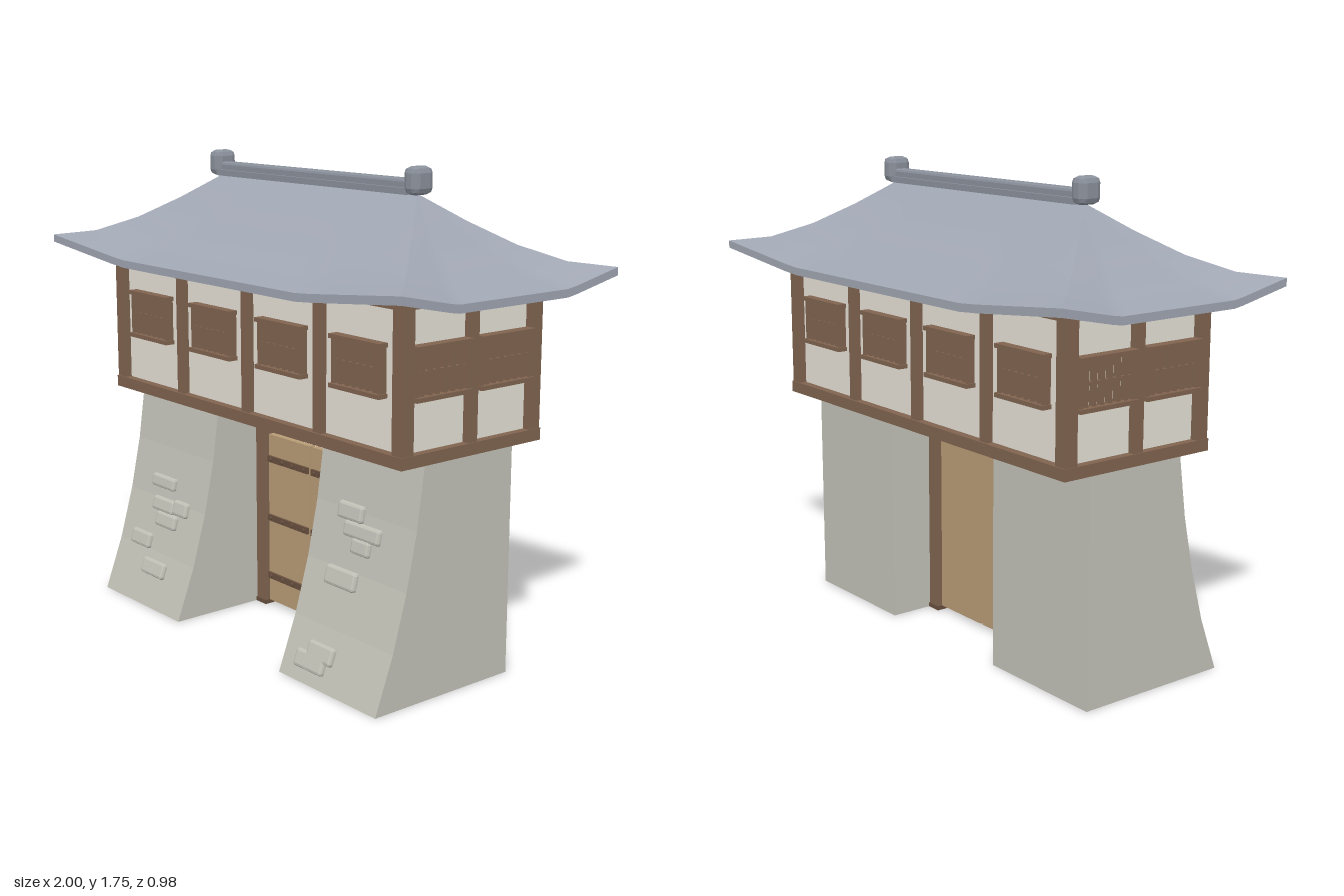
import * as THREE from 'three';
import { RoundedBoxGeometry } from 'three/addons/geometries/RoundedBoxGeometry.js';

const paint = (color, extra = {}) => new THREE.MeshStandardMaterial({ color, ...extra });
const MAT = {
  stone: paint(0xc2c2b8, { flatShading: true }),
  plaster: paint(0xe6e2d8),
  wood: paint(0x80644f),
  darkWood: paint(0x68503f),
  door: paint(0xb99c76),
  tile: paint(0xa0a6b2, { side: THREE.DoubleSide }),
  underside: paint(0x665040, { side: THREE.DoubleSide }),
  ridge: paint(0x8b919c, { flatShading: true }),
};

function add(parent, name, geometry, material, x = 0, y = 0, z = 0) {
  const mesh = new THREE.Mesh(geometry, material);
  mesh.name = name;
  mesh.position.set(x, y, z);
  parent.add(mesh);
  return mesh;
}
const box = (parent, name, mat, w, h, d, x, y, z) =>
  add(parent, name, new THREE.BoxGeometry(w, h, d), mat, x, y, z);

function group(parent, name) {
  const g = new THREE.Group();
  g.name = name;
  parent.add(g);
  return g;
}

// Linear lookup in a list of [key, value] pairs
function lookup(table, k) {
  let i = 1;
  while (i < table.length - 1 && k > table[i][0]) i++;
  const [a, b] = [table[i - 1], table[i]];
  return a[1] + (b[1] - a[1]) * (k - a[0]) / (b[0] - a[0]);
}

// Battered front face of the stone bases: [y, z]
const BATTER = [[0, 0.41], [0.2, 0.335], [0.4, 0.278], [0.6, 0.236], [0.82, 0.205]];

function buildBases(root) {
  const shape = new THREE.Shape();
  shape.moveTo(0.2, 0);
  BATTER.forEach(([y, z]) => shape.lineTo(-z, y));
  shape.lineTo(0.2, 0.82);
  const geo = new THREE.ExtrudeGeometry(shape, { depth: 0.505, bevelEnabled: false });
  geo.rotateY(Math.PI / 2);
  add(root, 'leftStoneBase', geo, MAT.stone, 0.31);
  add(root, 'rightStoneBase', geo, MAT.stone, -0.815);

  // Raised stones: x, y, width, height
  const stones = [
    [-0.59, 0.465, 0.15, 0.05], [-0.565, 0.38, 0.14, 0.055], [-0.455, 0.387, 0.09, 0.06],
    [-0.53, 0.327, 0.13, 0.058], [-0.665, 0.23, 0.125, 0.06], [-0.54, 0.142, 0.145, 0.063],
    [0.5, 0.595, 0.125, 0.06], [0.57, 0.54, 0.18, 0.055], [0.575, 0.49, 0.09, 0.055],
    [0.505, 0.37, 0.155, 0.068], [0.495, 0.115, 0.13, 0.065], [0.455, 0.075, 0.15, 0.064],
  ];
  const g = group(root, 'raisedStones');
  for (const [x, y, w, h] of stones) {
    const slope = (lookup(BATTER, y + 0.02) - lookup(BATTER, y - 0.02)) / 0.04;
    const stone = add(g, 'raisedStone', new RoundedBoxGeometry(w, h, 0.036, 1, 0.01),
      MAT.stone, x, y, lookup(BATTER, y));
    stone.rotation.x = Math.atan(slope);
  }
}

function buildGate(root) {
  const gate = group(root, 'gate');
  for (const s of [-1, 1]) {
    box(gate, 'gatePost', MAT.wood, 0.055, 0.8, 0.06, s * 0.2825, 0.4, 0);
    box(gate, 'postFoot', MAT.darkWood, 0.06, 0.016, 0.07, s * 0.28, 0.008, 0);
    box(gate, 'postCap', MAT.wood, 0.055, 0.025, 0.075, s * 0.2825, 0.808, 0);
    box(gate, 'doorLeaf', MAT.door, 0.247, 0.67, 0.025, s * 0.1295, 0.35, 0);
    for (const y of [0.12, 0.355, 0.59]) {
      box(gate, 'doorBand', MAT.darkWood, 0.24, 0.024, 0.012, s * 0.13, y, 0.016);
      for (const x of [0.03, 0.1, 0.16, 0.23]) {
        const stud = add(gate, 'stud', new THREE.CylinderGeometry(0.008, 0.008, 0.01, 8),
          MAT.darkWood, s * x, y, 0.025);
        stud.rotation.x = Math.PI / 2;
      }
    }
  }
  box(gate, 'lintel', MAT.wood, 0.62, 0.05, 0.075, 0, 0.755, 0);
  box(gate, 'lintelTrim', MAT.darkWood, 0.62, 0.012, 0.06, 0, 0.725, 0);
  box(gate, 'lintelCap', MAT.wood, 0.62, 0.012, 0.085, 0, 0.784, 0);
}

// Barred window centred on the origin, facing +z
function buildWindow() {
  const w = new THREE.Group();
  w.name = 'barredWindow';
  for (const y of [-0.083, 0.083]) box(w, 'windowRail', MAT.wood, 0.25, 0.015, 0.04, 0, y, 0.018);
  box(w, 'middleRail', MAT.wood, 0.23, 0.012, 0.018, 0, 0, 0.012);
  for (const s of [-1, 1]) box(w, 'windowJamb', MAT.wood, 0.014, 0.16, 0.03, s * 0.113, 0, 0.014);
  for (let i = -2.5; i <= 2.5; i++) box(w, 'windowBar', MAT.wood, 0.013, 0.16, 0.022, i * 0.034, 0, 0.012);
  return w;
}

function buildHouse(root) {
  const house = group(root, 'upperStorey');
  box(house, 'plasterWalls', MAT.plaster, 1.6, 0.53, 0.58, 0, 1.09, 0);
  for (const s of [-1, 1]) {
    // Beams around the top and bottom
    for (const [y, h] of [[0.843, 0.042], [1.35, 0.03]]) {
      box(house, 'longBeam', MAT.wood, 1.66, h, 0.045, 0, y, s * 0.3);
      box(house, 'endBeam', MAT.wood, 0.045, h, 0.64, s * 0.8075, y, 0);
    }
    // Posts
    for (const z of [-0.293, 0.293]) box(house, 'cornerPost', MAT.wood, 0.05, 0.53, 0.05, s * 0.803, 1.1, z);
    for (const x of [-0.4, 0, 0.4]) box(house, 'wallPost', MAT.wood, 0.042, 0.52, 0.035, x, 1.1, s * 0.297);
    box(house, 'endPost', MAT.wood, 0.035, 0.52, 0.042, s * 0.808, 1.1, 0);
    // Windows
    for (const x of [-0.6, -0.2, 0.2, 0.6]) {
      const w = buildWindow();
      w.position.set(x, 1.127, s * 0.29);
      w.rotation.y = s > 0 ? 0 : Math.PI;
      house.add(w);
    }
    for (const z of [-0.145, 0.145]) {
      const w = buildWindow();
      w.position.set(s * 0.805, 1.127, z);
      w.rotation.y = s * Math.PI / 2;
      house.add(w);
    }
  }
}

// Sheet from a rule p(u, v), both 0..1
function sheet(p, nu, nv) {
  const pos = [], index = [];
  for (let i = 0; i <= nu; i++) for (let j = 0; j <= nv; j++) pos.push(...p(i / nu, j / nv));
  for (let i = 0; i < nu; i++) for (let j = 0; j < nv; j++) {
    const a = i * (nv + 1) + j, b = a + nv + 1;
    index.push(a, a + 1, b + 1, a, b + 1, b);
  }
  const geo = new THREE.BufferGeometry();
  geo.setAttribute('position', new THREE.Float32BufferAttribute(pos, 3));
  geo.setIndex(index);
  geo.computeVertexNormals();
  return geo;
}

function buildRoof(root) {
  const roof = group(root, 'roof');
  const hip = [[0, 1.66], [0.25, 1.57], [0.5, 1.492], [0.75, 1.438], [1, 1.42]];
  const thick = 0.028;
  // Height: concave slope, with eaves that dip between upturned corners
  const height = (s, t) => lookup(hip, t) - 0.05 * t * t * Math.min(1, (1 - Math.abs(s)) / 0.48);
  const slopes = {
    longSlope: (s, t) => [s * (0.54 + 0.46 * t), height(s, t), 0.49 * t],
    hipEnd: (s, t) => [0.54 + 0.46 * t, height(s, t), -s * 0.49 * t],
  };
  for (const [name, p] of Object.entries(slopes)) {
    const lower = (s, t) => { const [x, y, z] = p(s, t); return [x, y - thick, z]; };
    const top = sheet((u, v) => p(u * 2 - 1, v), 24, 8);
    const edge = sheet((u, v) => (v ? lower : p)(u * 2 - 1, 1), 24, 1);
    const under = sheet((u, v) => lower(1 - u * 2, v), 24, 8);
    for (const turn of [0, Math.PI]) {
      const side = group(roof, name);
      side.rotation.y = turn;
      add(side, 'tiles', top, MAT.tile);
      add(side, 'eaveEdge', edge, MAT.tile);
      add(side, 'soffit', under, MAT.underside);
    }
  }
  // Ridge with end knobs
  box(roof, 'ridgeBase', MAT.ridge, 1.06, 0.022, 0.08, 0, 1.667, 0);
  add(roof, 'ridgeBeam', new RoundedBoxGeometry(1.06, 0.04, 0.055, 1, 0.01), MAT.ridge, 0, 1.687, 0);
  for (const s of [-1, 1])
    add(roof, 'ridgeKnob', new RoundedBoxGeometry(0.066, 0.095, 0.09, 1, 0.022), MAT.ridge, s * 0.548, 1.703, 0);
}

export function createModel() {
  const root = new THREE.Group();
  root.name = 'gatehouse';
  buildBases(root);
  buildGate(root);
  buildHouse(root);
  buildRoof(root);
  return root;
}
